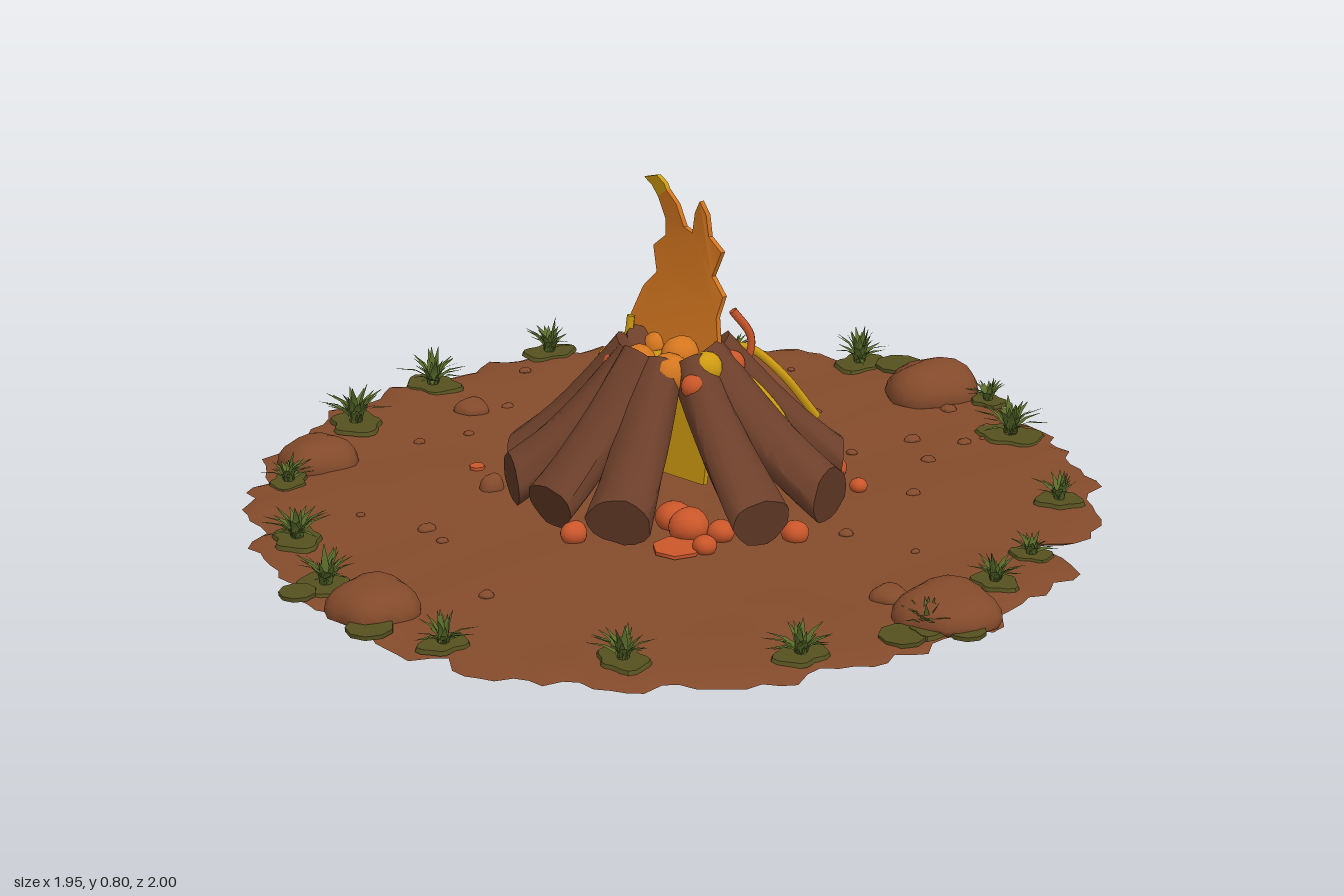
import * as THREE from 'three';
import { mergeGeometries, toCreasedNormals } from 'three/addons/utils/BufferGeometryUtils.js';

const mat = (name, color, side = THREE.FrontSide) => {
  const m = new THREE.MeshStandardMaterial({ color, side });
  m.name = name;
  return m;
};

export function createModel() {
  const group = new THREE.Group();
  const soil = mat('soil brown', 0x834a2b);
  const bark = mat('bark brown', 0x6c3f2a);
  const cutWood = mat('cut wood', 0x5e3725);
  const grassGreen = mat('grass green', 0x5a6c2a, THREE.DoubleSide);
  const moss = mat('moss olive', 0x55501f);
  const emberRed = mat('ember red', 0xca562a, THREE.DoubleSide);
  const flameOrange = mat('flame orange', 0xd4761f, THREE.DoubleSide);
  const flameYellow = mat('flame yellow', 0xcf9c12, THREE.DoubleSide);

  let seed = 7;
  const rnd = () => (seed = (seed * 16807) % 2147483647) / 2147483647;
  const range = (a, b) => a + (b - a) * rnd();
  const add = (name, geo, material, parent = group) => {
    const mesh = new THREE.Mesh(geo, material);
    mesh.name = name;
    parent.add(mesh);
    return mesh;
  };
  // Move every vertex by a rule, then renew normals (enlarged meanwhile, so tiny parts keep their corners apart)
  const warp = (geo, rule, crease = 0.7) => {
    const p = geo.attributes.position, v = new THREE.Vector3();
    for (let i = 0; i < p.count; i++) {
      rule(v.fromBufferAttribute(p, i));
      p.setXYZ(i, v.x, v.y, v.z);
    }
    return toCreasedNormals(geo.scale(100, 100, 100), crease).scale(0.01, 0.01, 0.01);
  };
  const subgroup = (name) => {
    const g = new THREE.Group();
    g.name = name;
    group.add(g);
    return g;
  };

  // Sloping, gently bumpy ground with a ragged, scalloped rim
  const bumps = (x, z) => 0.005 * Math.sin(9 * x + 2 * z) * Math.sin(8 * z - 3 * x) + 0.003 * Math.sin(23 * x) * Math.cos(19 * z);
  const groundY = (x, z) => 0.083 - 0.07 * z + bumps(x, z);
  const outline = (a) => 0.955 + 0.012 * Math.sin(4 * a + 1) + 0.03 * Math.abs(Math.sin(11 * a))
    + 0.012 * Math.sin(37 * a) + 0.01 * Math.sin(61 * a + 2) - 0.1 * Math.exp(-(((a - 0.25) / 0.06) ** 2));
  const profile = [[0, 0], [0.3, 0], [0.6, 0], [0.9, 0], [0.97, 0.006], [1, 0.012], [0.97, 0.019],
    [0.9, 0.02], [0.75, 0.02], [0.6, 0.02], [0.45, 0.02], [0.3, 0.02], [0.15, 0.02], [0, 0.02]];
  const soilGeo = new THREE.LatheGeometry(profile.map(([r, y]) => new THREE.Vector2(r, y)), 180);
  add('ground', warp(soilGeo, (v) => {
    const edge = Math.hypot(v.x, v.z);
    const s = 1 + (outline(Math.atan2(v.z, v.x)) - 1) * edge ** 4;
    v.x *= s * 0.97;
    v.z *= s;
    v.y += 0.063 - 0.07 * v.z + bumps(v.x, v.z);
  }, 0.9), soil);

  // Lumpy stone shape cut flat at a floor, shared by rocks, pebbles and embers
  const lump = (r, detail, flat, rough, floor = -r) => {
    const k = range(0, 6);
    return warp(new THREE.IcosahedronGeometry(r, detail), (v) => {
      const n = v.clone().divideScalar(r);
      v.multiplyScalar(1 + rough * Math.sin(3 * n.x + k) * Math.cos(4 * n.z + k + n.y));
      v.y = Math.max(v.y * flat, floor);
    }, 0.8);
  };

  // Large rocks at the rim: x, z, radius, flattening
  const rocks = subgroup('rocks');
  for (const [x, z, r, f] of [[0.58, -0.66, 0.115, 0.68], [-0.84, -0.13, 0.09, 0.65], [-0.56, 0.66, 0.095, 0.65],
    [0.62, 0.6, 0.11, 0.56], [-0.53, -0.47, 0.042, 0.7], [-0.41, 0.02, 0.028, 1.2], [-0.19, -0.37, 0.032, 1.2], [0.5, 0.53, 0.04, 0.6]])
    add('rock', lump(r, 3, f, 0.12, -0.012), soil, rocks).position.set(x, groundY(x, z), z);

  // Pebbles scattered on the soil
  const pebbles = subgroup('pebbles');
  for (let i = 0; i < 26; i++) {
    const a = range(0, Math.PI * 2), d = range(0.45, 0.88), r = range(0.008, 0.022);
    const x = d * Math.cos(a), z = d * Math.sin(a);
    add('pebble', lump(r, 1, 0.6, 0.12), soil, pebbles).position.set(x, groundY(x, z), z);
  }

  // Logs leaning together into a cone, feet cut nearly upright: outer end x, z, thickness
  const logs = subgroup('logs');
  for (const [x, z, r] of [[-0.04, -0.4, 0.077], [0.16, -0.38, 0.066], [0.29, -0.23, 0.066], [0.4, -0.05, 0.07],
    [0.385, 0.18, 0.078], [0.235, 0.34, 0.07], [-0.09, 0.37, 0.074], [-0.26, 0.28, 0.07], [-0.37, 0.14, 0.075],
    [-0.385, -0.04, 0.068], [-0.25, -0.22, 0.062]]) {
    const d = Math.hypot(x, z), inner = range(0.075, 0.095), k = range(0, 6);
    const foot = new THREE.Vector3(x * 0.94, groundY(x, z) + r * 0.95, z * 0.94);
    const tip = new THREE.Vector3(x / d * inner, range(0.395, 0.42), z / d * inner);
    const middle = foot.clone().lerp(tip, 0.5), len = foot.distanceTo(tip);
    const turn = new THREE.Quaternion().setFromUnitVectors(new THREE.Vector3(0, 1, 0), tip.clone().sub(foot).normalize());
    add('log', warp(new THREE.CylinderGeometry(r * 0.7, r, len, 18, 8), (v) => {
      const t = v.y / len + 0.5, a = Math.atan2(v.z, v.x);
      const s = 1 + 0.05 * Math.sin(3 * a + k + 2 * t) + 0.03 * Math.sin(7 * a + 5 * t + k);
      v.x *= s;
      v.z *= s;
      v.applyQuaternion(turn).add(middle);
      const slide = -0.8 * (1 - t) * (v.y - foot.y - t * (tip.y - foot.y));
      v.x += x / d * slide;
      v.z += z / d * slide;
      v.y -= 0.022 * Math.sin(Math.PI * t);
    }), [bark, bark, cutWood], logs);
  }

  // Embers between the feet of the logs: x, z, radius
  const embers = subgroup('embers');
  for (const [x, z, r] of [[-0.13, -0.28, 0.045], [0.05, -0.27, 0.04], [0.24, -0.36, 0.03], [0.08, -0.37, 0.024],
    [-0.36, -0.12, 0.03], [-0.28, -0.12, 0.032], [0.06, 0.26, 0.045], [0.1, 0.34, 0.026], [0.02, 0.2, 0.04], [0.13, 0.27, 0.03],
    [0.36, -0.13, 0.03], [0.42, -0.03, 0.02], [-0.19, 0.29, 0.03], [0.29, 0.25, 0.03], [-0.15, -0.34, 0.028], [0.19, -0.2, 0.04]])
    add('ember', lump(r, 2, 0.9, 0.07), emberRed, embers).position.set(x, groundY(x, z) + r * 0.5, z);
  for (const [x, z, r] of [[0.04, 0.335, 0.055], [-0.46, -0.09, 0.018]]) {
    const patch = add('glowing ash', new THREE.CylinderGeometry(r, r, 0.008, 7), emberRed, embers);
    patch.position.set(x, groundY(x, z) + 0.004, z);
    patch.rotation.x = 0.07;
  }

  // Glowing heart filling the top of the cone: x, y, z, radius, colour
  for (const [x, y, z, r, m] of [[0, 0.385, 0.09, 0.048, flameOrange], [-0.07, 0.4, 0.06, 0.042, flameOrange],
    [0.08, 0.4, 0.085, 0.038, flameYellow], [-0.14, 0.37, -0.06, 0.036, flameYellow], [0.05, 0.41, -0.05, 0.035, flameYellow],
    [0.12, 0.39, -0.05, 0.038, flameYellow], [-0.04, 0.4, -0.08, 0.036, flameOrange], [0.02, 0.41, 0.03, 0.045, flameOrange],
    [-0.12, 0.38, 0.01, 0.036, emberRed], [0.13, 0.39, 0.02, 0.034, emberRed], [0.12, 0.38, -0.11, 0.034, emberRed],
    [-0.1, 0.38, -0.12, 0.034, emberRed], [0.06, 0.37, 0.13, 0.03, emberRed], [0.05, 0.38, -0.13, 0.034, emberRed]])
    add('glowing lump', lump(r, 2, 1, 0.06), m, embers).position.set(x, y, z);
  add('glowing heart', lump(0.1, 2, 0.4, 0.05), flameYellow, embers).position.y = 0.37;

  // Tall flame: thin curved sheet standing diagonally, in three coloured pieces
  const flame = subgroup('flame');
  const sheet = (name, pts, material) => {
    const shape = new THREE.Shape(pts.map(([u, y]) => new THREE.Vector2(u, y)));
    const geo = new THREE.ExtrudeGeometry(shape, { depth: 0.013, bevelEnabled: false });
    add(name, warp(geo, (v) => {
      const bend = v.z - 0.006 + (v.y > 0.4 ? -0.025 * Math.sin((v.y - 0.4) * 8) : 0);
      v.set(v.x * 0.78 - bend * 0.63, v.y, v.x * 0.66 + bend * 0.78 - 0.035);
    }), material, flame);
  };
  sheet('flame base', [[-0.07, 0.11], [0.1, 0.11], [0.12, 0.25], [0.1, 0.38], [-0.1, 0.38], [-0.09, 0.25]], flameYellow);
  sheet('flame body', [[-0.15, 0.38], [0.13, 0.38], [0.135, 0.44], [0.12, 0.5], [0.135, 0.55], [0.1, 0.59], [0.13, 0.65],
    [0.095, 0.68], [0.095, 0.73], [0.08, 0.76], [0.06, 0.73], [0.045, 0.68], [0.02, 0.69], [0.005, 0.74], [-0.02, 0.77],
    [-0.05, 0.75], [-0.035, 0.7], [-0.04, 0.66], [-0.08, 0.63], [-0.07, 0.57], [-0.11, 0.53], [-0.14, 0.46]], flameOrange);
  sheet('flame tip', [[-0.05, 0.75], [-0.02, 0.77], [-0.025, 0.785], [-0.045, 0.8], [-0.085, 0.79], [-0.065, 0.775]], flameYellow);

  // Thin tongues of fire licking out of the gaps
  const tongue = (pts, material) => {
    const curve = new THREE.CatmullRomCurve3(pts.map((p) => new THREE.Vector3(...p)));
    add('fire tongue', new THREE.TubeGeometry(curve, 20, 0.01, 6), material, flame);
  };
  tongue([[0.1, 0.41, -0.05], [0.17, 0.39, -0.11], [0.24, 0.33, -0.12], [0.32, 0.22, -0.15]], flameYellow);
  tongue([[-0.09, 0.41, -0.07], [-0.12, 0.36, -0.17], [-0.13, 0.28, -0.22], [-0.16, 0.2, -0.29]], flameYellow);
  tongue([[0.12, 0.34, -0.08], [0.165, 0.38, -0.08], [0.17, 0.43, -0.08], [0.13, 0.49, -0.07]], emberRed);
  tongue([[-0.17, 0.33, -0.08], [-0.15, 0.39, -0.09], [-0.11, 0.42, -0.08], [-0.1, 0.47, -0.08]], flameYellow);
  tongue([[0.09, 0.42, 0.02], [0.17, 0.36, 0.02], [0.25, 0.27, 0.03], [0.29, 0.14, 0.02]], flameYellow);

  // Grass tufts on mossy patches around the rim: x, z, size
  const grass = subgroup('grass');
  const up = new THREE.Vector3(0, 1, 0);
  for (const [x, z, s] of [[-0.39, -0.86, 1], [-0.13, -0.91, 1], [0.08, -0.88, 0.7], [0.4, -0.86, 1.05], [-0.65, -0.62, 1.1],
    [-0.79, -0.34, 1.15], [0.77, -0.39, 1.2], [0.72, -0.6, 0.7], [-0.88, 0.01, 0.8], [0.87, 0, 0.8], [-0.79, 0.34, 1],
    [0.8, 0.3, 0.7], [0.72, 0.46, 0.8], [-0.68, 0.57, 1], [-0.39, 0.82, 0.8], [-0.02, 0.88, 0.9], [0.33, 0.82, 0.9], [0.58, 0.68, 0.75]]) {
    const blades = [];
    for (let i = 0; i < 26; i++) {
      const h = s * range(0.06, 0.1), lean = s * range(0.01, 0.085);
      blades.push(warp(new THREE.PlaneGeometry(0.021 * s, h, 1, 3), (v) => {
        const t = v.y / h + 0.5;
        v.x *= 1 - 0.95 * t * t;
        v.y = t * h - lean * 0.5 * t * t;
        v.z = lean * t * t + 0.006;
        v.applyAxisAngle(up, i * 2.4);
      }));
    }
    const y = groundY(x, z);
    add('grass tuft', mergeGeometries(blades), grassGreen, grass).position.set(x, y, z);
    const patch = new THREE.CylinderGeometry(0.056 * s, 0.06 * s, 0.009, 24);
    add('moss patch', warp(patch, (v) => {
      const a = Math.atan2(v.z, v.x);
      const k = 1 + 0.18 * Math.sin(2 * a + x * 9) + 0.1 * Math.sin(5 * a + z * 9);
      v.x *= k;
      v.z *= k;
      v.y -= 0.07 * v.z;
    }), moss, grass).position.set(x, y + 0.003, z);
  }
  // Bare mossy stretches beside some of the tufts: x, z, radius
  for (const [x, z, r] of [[0.5, -0.84, 0.06], [0.6, -0.8, 0.055], [-0.55, 0.77, 0.05], [0.53, 0.72, 0.05], [0.66, 0.69, 0.04], [-0.73, 0.62, 0.04]]) {
    const patch = add('moss patch', new THREE.CylinderGeometry(r, r, 0.009, 9), moss, grass);
    patch.position.set(x, groundY(x, z) + 0.003, z);
    patch.rotation.x = 0.07;
  }

  return group;
}
